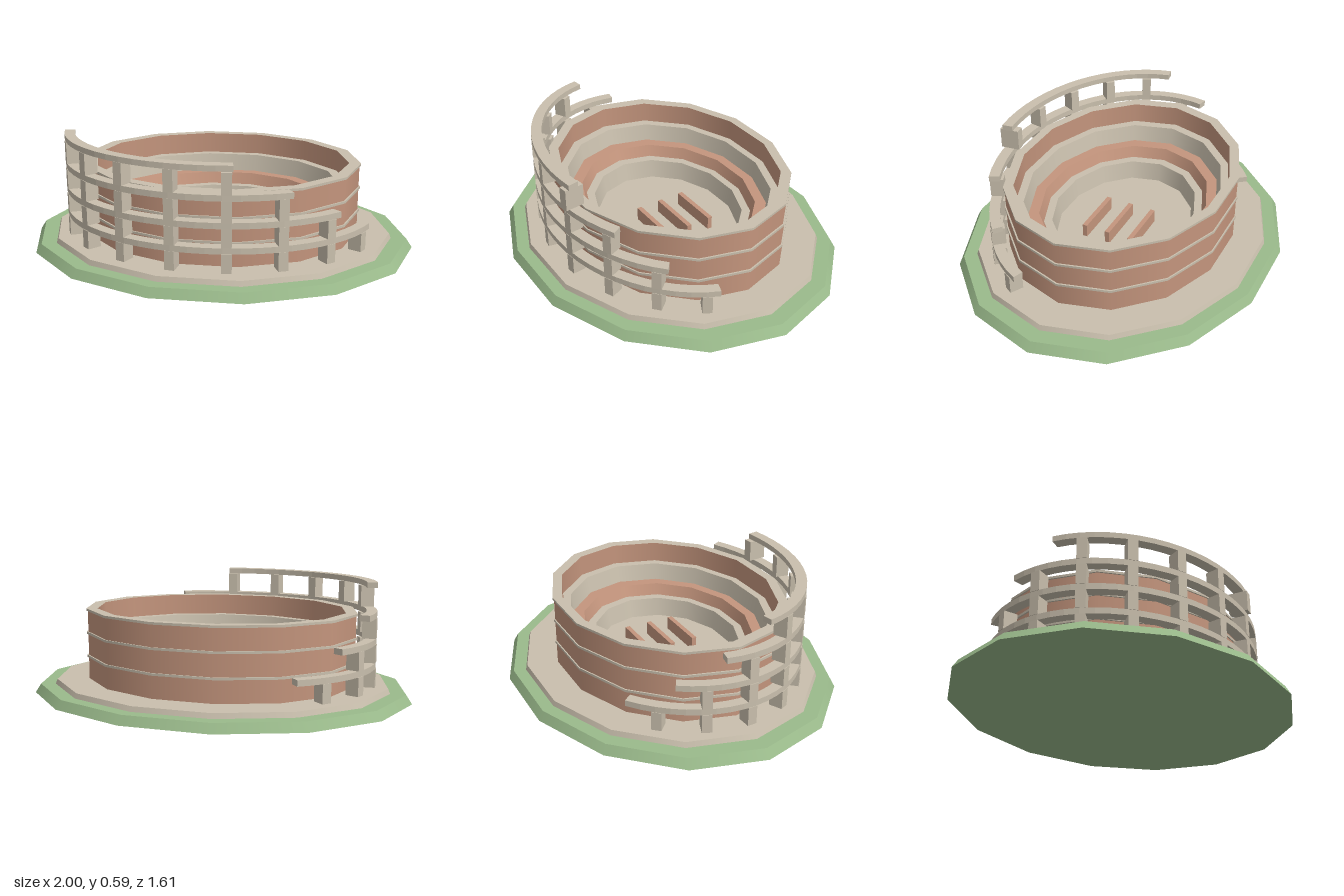
import * as THREE from 'three';

const SIDES = 14;
const rad = THREE.MathUtils.degToRad;

export function createModel() {
  const stone = new THREE.MeshStandardMaterial({ color: 0xc9bfad });
  const brick = new THREE.MeshStandardMaterial({ color: 0xc4957d });
  const grass = new THREE.MeshStandardMaterial({ color: 0x9aba8b });
  stone.name = 'stone';
  brick.name = 'brick';
  grass.name = 'grass';

  const model = new THREE.Group();
  model.name = 'amphitheatre';

  const add = (parent, name, geometry, material) => {
    const mesh = new THREE.Mesh(geometry, material);
    mesh.name = name;
    parent.add(mesh);
    return mesh;
  };

  // Oval solid slab with a vertex on the x axis
  const slab = (name, rTop, rBottom, y0, y1, squash, material) => {
    const g = new THREE.CylinderGeometry(rTop, rBottom, y1 - y0, SIDES);
    g.rotateY(Math.PI / 2);
    g.scale(1, 1, squash);
    g.translate(0, (y0 + y1) / 2, 0);
    return add(model, name, g, material);
  };

  // Oval strip swept between two profile points
  const strip = (parent, name, a, b, material) => {
    const g = new THREE.LatheGeometry(
      [new THREE.Vector2(...a), new THREE.Vector2(...b)], SIDES, Math.PI / 2);
    g.scale(1, 1, 0.806);
    return add(parent, name, g, material);
  };

  // Ground
  slab('grassMound', 0.97, 1, 0, 0.045, 0.828, grass);
  slab('stonePlinth', 0.88, 0.89, 0.045, 0.07, 0.833, stone);

  // Outer wall, rim and stepped seating, listed from outside to inside
  const bowl = new THREE.Group();
  bowl.name = 'bowl';
  model.add(bowl);
  const profile = [
    ['outerWall', [0.712, 0.07], [0.712, 0.428], brick],
    ['rimUnderside', [0.712, 0.428], [0.72, 0.428], stone],
    ['rimEdge', [0.72, 0.428], [0.72, 0.44], stone],
    ['rimTop', [0.72, 0.44], [0.66, 0.44], stone],
    ['innerWall', [0.66, 0.44], [0.66, 0.33], brick],
    ['upperSeat', [0.66, 0.33], [0.61, 0.33], stone],
    ['upperRiser', [0.61, 0.33], [0.59, 0.24], stone],
    ['middleSeat', [0.59, 0.24], [0.525, 0.24], brick],
    ['middleRiser', [0.525, 0.24], [0.5, 0.18], brick],
    ['lowerSeat', [0.5, 0.18], [0.45, 0.18], stone],
    ['lowerRiser', [0.45, 0.18], [0.43, 0.08], stone],
    ['arenaFloor', [0.43, 0.08], [0, 0.08], stone],
  ];
  for (const [name, a, b, material] of profile) strip(bowl, name, a, b, material);

  // String courses around the outer wall
  for (const y of [0.184, 0.307]) {
    const points = [[0.712, y], [0.72, y], [0.72, y + 0.012], [0.712, y + 0.012]];
    for (let i = 0; i < 3; i++) strip(bowl, 'stringCourse', points[i], points[i + 1], stone);
  }

  // Low walls on the arena floor
  for (const z of [-0.13, 0, 0.13]) {
    add(model, 'arenaWall', new THREE.BoxGeometry(0.28, 0.07, 0.025), brick)
      .position.set(0.07, 0.115, z);
  }

  // Ruined outer arcade: each storey is shorter than the one below
  const arc = (start, end, y0, y1) => {
    const steps = Math.ceil((end - start) / 6);
    const edge = (a, b) => Array.from({ length: steps + 1 }, (_, i) => {
      const t = rad(start + (end - start) * i / steps);
      return new THREE.Vector2(a * Math.cos(t), b * Math.sin(t));
    });
    const shape = new THREE.Shape([...edge(0.81, 0.652), ...edge(0.757, 0.597).reverse()]);
    const g = new THREE.ExtrudeGeometry(shape, { depth: y1 - y0, bevelEnabled: false });
    g.rotateX(Math.PI / 2);
    g.translate(0, y1, 0);
    return g;
  };

  const levels = [[0.165, 0.195], [0.288, 0.318], [0.42, 0.45], [0.56, 0.588]];
  let base = 0.07;
  levels.forEach(([y0, y1], level) => {
    const storey = new THREE.Group();
    storey.name = 'arcadeStorey' + (level + 1);
    model.add(storey);
    add(storey, 'beam', arc(18.5 + 20.3 * level, 229 - 19.4 * level, y0, y1), stone);
    for (let k = level; k <= 10 - level; k++) {
      const t = rad(23.6 + 19.3 * k);
      // The free end of the top storey has a deeper pier
      const depth = level === 3 && k === 3 ? 0.1 : 0.07;
      const pillar = add(storey, 'pillar', new THREE.BoxGeometry(depth, y0 - base, 0.048), stone);
      pillar.position.set(0.777 * Math.cos(t), (base + y0) / 2, 0.618 * Math.sin(t));
      pillar.rotation.y = -Math.atan2(Math.sin(t) / 0.618, Math.cos(t) / 0.777);
    }
    base = y1;
  });

  return model;
}
